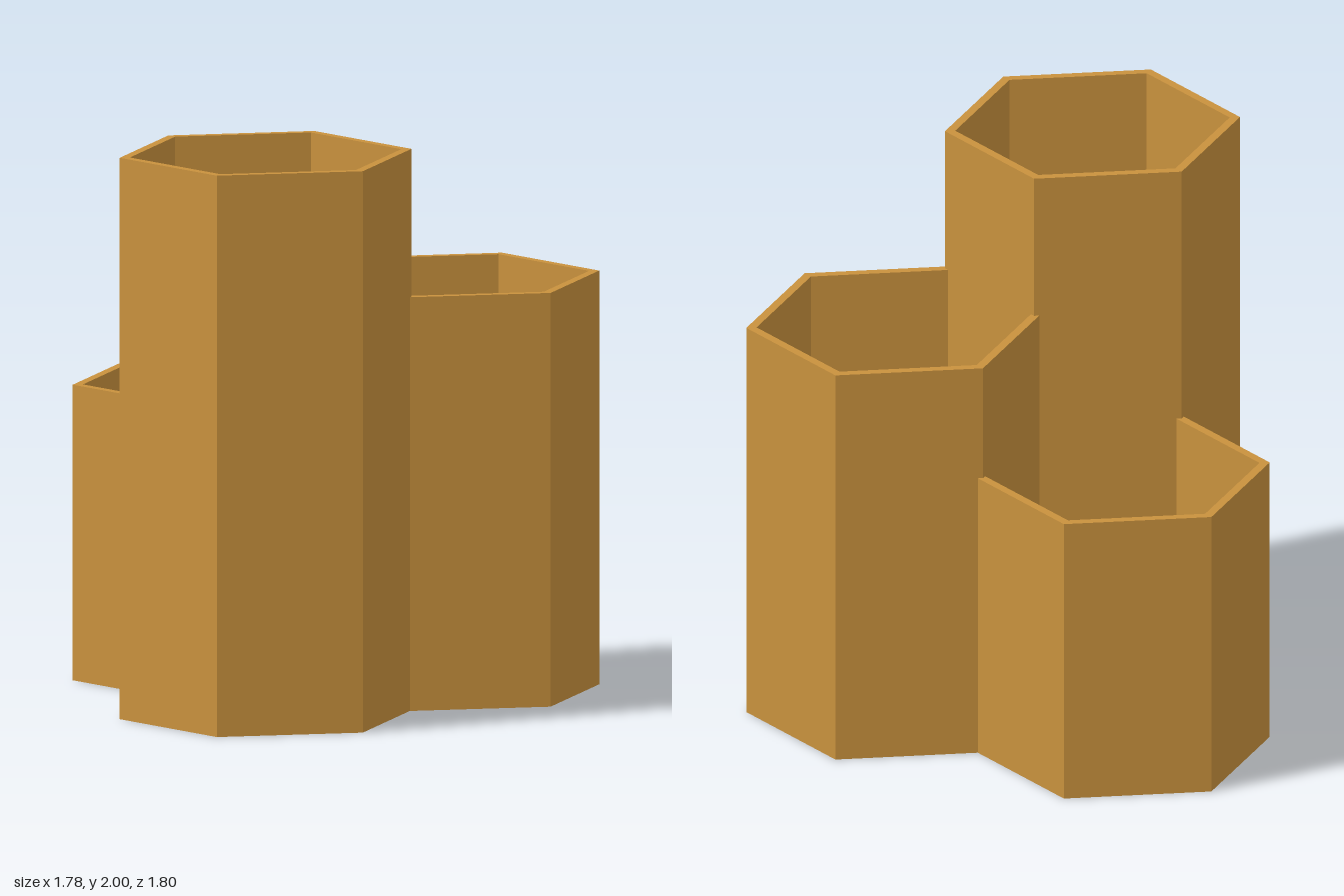
import * as THREE from 'three';

const WALL = 0.0316, FLOOR = 0.042;
const COS30 = Math.cos(Math.PI / 6);
const APOTHEM = 0.4526;            // centre to outer flat side
const PITCH = 2 * APOTHEM - WALL;  // neighbouring cells share one wall

// Corners of a hexagon with its points along z
function hexagon(apothem) {
  const r = apothem / COS30;
  return Array.from({ length: 6 }, (_, i) => {
    const a = Math.PI / 2 + i * Math.PI / 3;
    return new THREE.Vector2(r * Math.cos(a), r * Math.sin(a));
  });
}

// Extrude a flat shape upwards from y = 0
function upright(shape, height) {
  const geometry = new THREE.ExtrudeGeometry(shape, { depth: height, bevelEnabled: false });
  return geometry.rotateX(-Math.PI / 2);
}

// Open-topped hexagonal tube with a thin floor
function createCell(name, height, x, z, material) {
  const cell = new THREE.Group();
  cell.name = name;

  const ring = new THREE.Shape(hexagon(APOTHEM));
  ring.holes.push(new THREE.Path(hexagon(APOTHEM - WALL)));
  const walls = new THREE.Mesh(upright(ring, height), material);
  walls.name = 'walls';

  const floor = new THREE.Mesh(upright(new THREE.Shape(hexagon(APOTHEM - WALL)), FLOOR), material);
  floor.name = 'floor';

  cell.add(walls, floor);
  cell.position.set(x, 0, z);
  return cell;
}

export function createModel() {
  const model = new THREE.Group();
  model.name = 'hexagonalPenHolder';
  const material = new THREE.MeshStandardMaterial({ color: 0xc8913d });
  material.name = 'ochre';

  // Three cells of stepped height, nested in a triangle
  const x = PITCH / 2, z = PITCH * COS30 / 2;
  model.add(
    createCell('tallCell', 2, -x, z, material),
    createCell('middleCell', 1.474, x, z, material),
    createCell('shortCell', 1.053, 0, -z, material),
  );
  return model;
}
